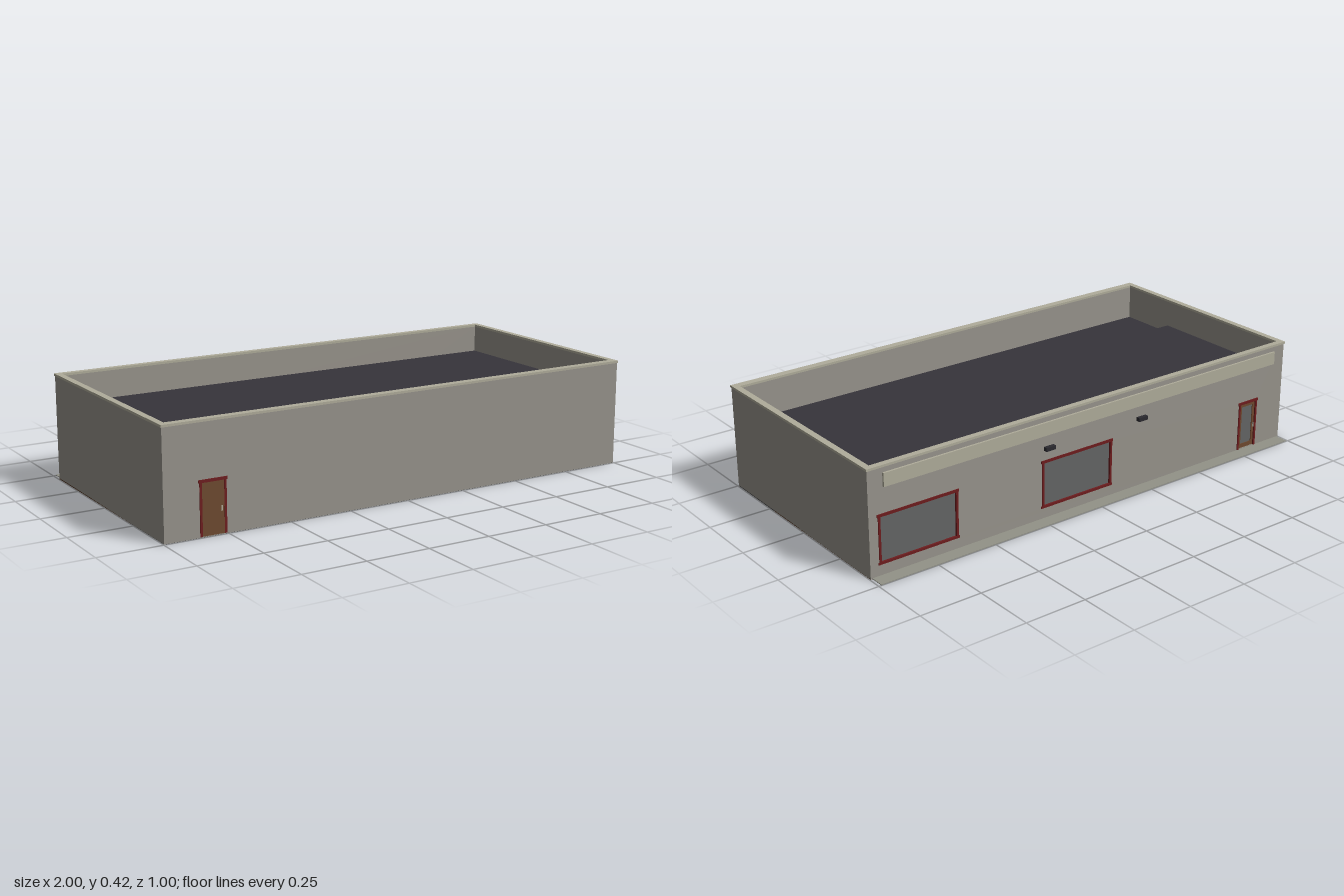
import * as THREE from 'three';

const mat = (name, color, side = THREE.FrontSide) => {
  const m = new THREE.MeshStandardMaterial({ color, side });
  m.name = name;
  return m;
};

export function createModel() {
  const root = new THREE.Group();
  root.name = 'building';
  const wall = mat('wall plaster', 0x98948c);
  const trim = mat('pale trim', 0xb0ad9b);
  const roofing = mat('roof felt', 0x36343b);
  const paving = mat('paving', 0x939388);
  const boards = mat('floor boards', 0x593f2d);
  const concrete = mat('dark concrete', 0x525252);
  const red = mat('frame red', 0x6e1c1e);
  const wood = mat('door wood', 0x6f4a30);
  const glass = mat('window glass', 0x646666);
  const black = mat('lamp black', 0x2b2a30);

  // Box given by its lower and upper limits on each axis
  const box = (name, m, x0, x1, y0, y1, z0, z1, parent = root) => {
    const mesh = new THREE.Mesh(new THREE.BoxGeometry(x1 - x0, y1 - y0, z1 - z0), m);
    mesh.position.set((x0 + x1) / 2, (y0 + y1) / 2, (z0 + z1) / 2);
    mesh.name = name;
    parent.add(mesh);
    return mesh;
  };
  const group = (name) => {
    const g = new THREE.Group();
    g.name = name;
    root.add(g);
    return g;
  };
  const rect = (S, x0, x1, y0, y1) => {
    const s = new S();
    s.moveTo(x0, y0);
    s.lineTo(x1, y0);
    s.lineTo(x1, y1);
    s.lineTo(x0, y1);
    s.closePath();
    return s;
  };

  const front = 0.497, back = -0.445, top = 0.411, side = 0.997, inner = 0.977;

  // Plain walls
  box('frontWall', wall, -side, side, 0, top, 0.472, front);
  for (const s of [-1, 1]) {
    const x = [s * side, s * inner].sort((a, b) => a - b);
    box(s > 0 ? 'leftWall' : 'rightWall', wall, x[0], x[1], 0, top, back, 0.472);
  }
  box('partitionWall', wall, -inner, inner, 0.003, 0.3, 0.216, 0.224);

  // Back wall with openings for two windows and a door
  const openings = [
    { name: 'leftWindow', x0: 0.625, x1: 0.96, y0: 0.045, y1: 0.236 },
    { name: 'middleWindow', x0: -0.088, x1: 0.247, y0: 0.045, y1: 0.236 },
    { name: 'backDoor', x0: -0.86, x1: -0.76, y0: 0.004, y1: 0.207, door: true },
  ];
  const shape = rect(THREE.Shape, -inner, inner, 0, top);
  for (const o of openings) {
    shape.holes.push(rect(THREE.Path, o.x0 + 0.005, o.x1 - 0.005, o.y0 + 0.002, o.y1 - 0.005));
  }
  const backWall = new THREE.Mesh(
    new THREE.ExtrudeGeometry(shape, { depth: 0.018, bevelEnabled: false }), wall);
  backWall.position.z = back;
  backWall.name = 'backWall';
  root.add(backWall);

  // Frame of four bars around an opening, between two depths
  const frame = (o, z0, z1, w, parent) => {
    box('frameSide', red, o.x0, o.x0 + w, o.y0, o.y1, z0, z1, parent);
    box('frameSide', red, o.x1 - w, o.x1, o.y0, o.y1, z0, z1, parent);
    box('frameHead', red, o.x0 - 0.004, o.x1 + 0.004, o.y1 - w, o.y1 + 0.002, z0, z1, parent);
    if (!o.door) box('frameSill', red, o.x0 - 0.004, o.x1 + 0.004, o.y0, o.y0 + w, z0, z1, parent);
  };
  for (const o of openings) {
    const g = group(o.name);
    frame(o, back - 0.003, back + 0.01, 0.009, g);
    const z = back + 0.005;
    box('pane', glass, o.x0 + 0.005, o.x1 - 0.005, o.y0, o.y1 - 0.005, z, z + 0.006, g);
    if (o.door) {
      // Timber leaf around the glazed middle
      const a = o.x0 + 0.009, b = o.x1 - 0.009, d = z - 0.003;
      box('leafSide', wood, a, a + 0.012, o.y0, 0.197, d, z, g);
      box('leafSide', wood, b - 0.012, b, o.y0, 0.197, d, z, g);
      box('leafTop', wood, a + 0.012, b - 0.012, 0.185, 0.197, d, z, g);
      box('leafBottom', wood, a + 0.012, b - 0.012, o.y0, 0.024, d, z, g);
      box('handle', trim, a + 0.003, a + 0.007, 0.085, 0.105, d - 0.004, d, g);
    }
  }

  // Front door
  const door = group('frontDoor');
  const f = { x0: -0.86, x1: -0.756, y0: 0.003, y1: 0.205, door: true };
  frame(f, front - 0.002, 0.5, 0.009, door);
  box('leaf', wood, f.x0 + 0.009, f.x1 - 0.009, f.y0, f.y1 - 0.009, front - 0.002, front + 0.0015, door);
  box('handle', trim, -0.777, -0.772, 0.085, 0.105, front, 0.5, door);

  // Coping around the top of the walls
  const coping = group('coping');
  box('copingFront', trim, -1, 1, top, 0.42, 0.47, 0.5, coping);
  box('copingBack', trim, -1, 1, top, 0.42, -0.449, -0.425, coping);
  box('copingLeft', trim, 0.975, 1, top, 0.42, -0.425, 0.47, coping);
  box('copingRight', trim, -1, -0.975, top, 0.42, -0.425, 0.47, coping);

  // Two roof levels
  box('mainRoof', roofing, -inner, inner, 0.294, 0.302, -0.428, 0.221);
  box('lowerRoof', roofing, -inner, inner, 0.263, 0.271, 0.221, 0.473);

  // Floors and pavement
  box('mainFloor', boards, -side, side, -0.001, 0.003, back + 0.001, 0.222);
  box('frontFloor', concrete, -side, side, -0.001, 0.003, 0.222, front - 0.001);
  box('pavement', paving, -0.99, 0.99, 0, 0.003, -0.5, back);

  // Blank sign board and lamps on the back wall
  box('signBoard', trim, -0.94, 0.935, 0.338, 0.39, -0.453, back);
  for (const x of [-0.227, 0.222]) {
    const g = group('wallLamp');
    box('lampHead', black, x - 0.022, x + 0.022, 0.281, 0.296, -0.467, -0.451, g);
    box('lampArm', black, x - 0.012, x + 0.012, 0.284, 0.293, -0.451, back, g);
  }
  return root;
}
